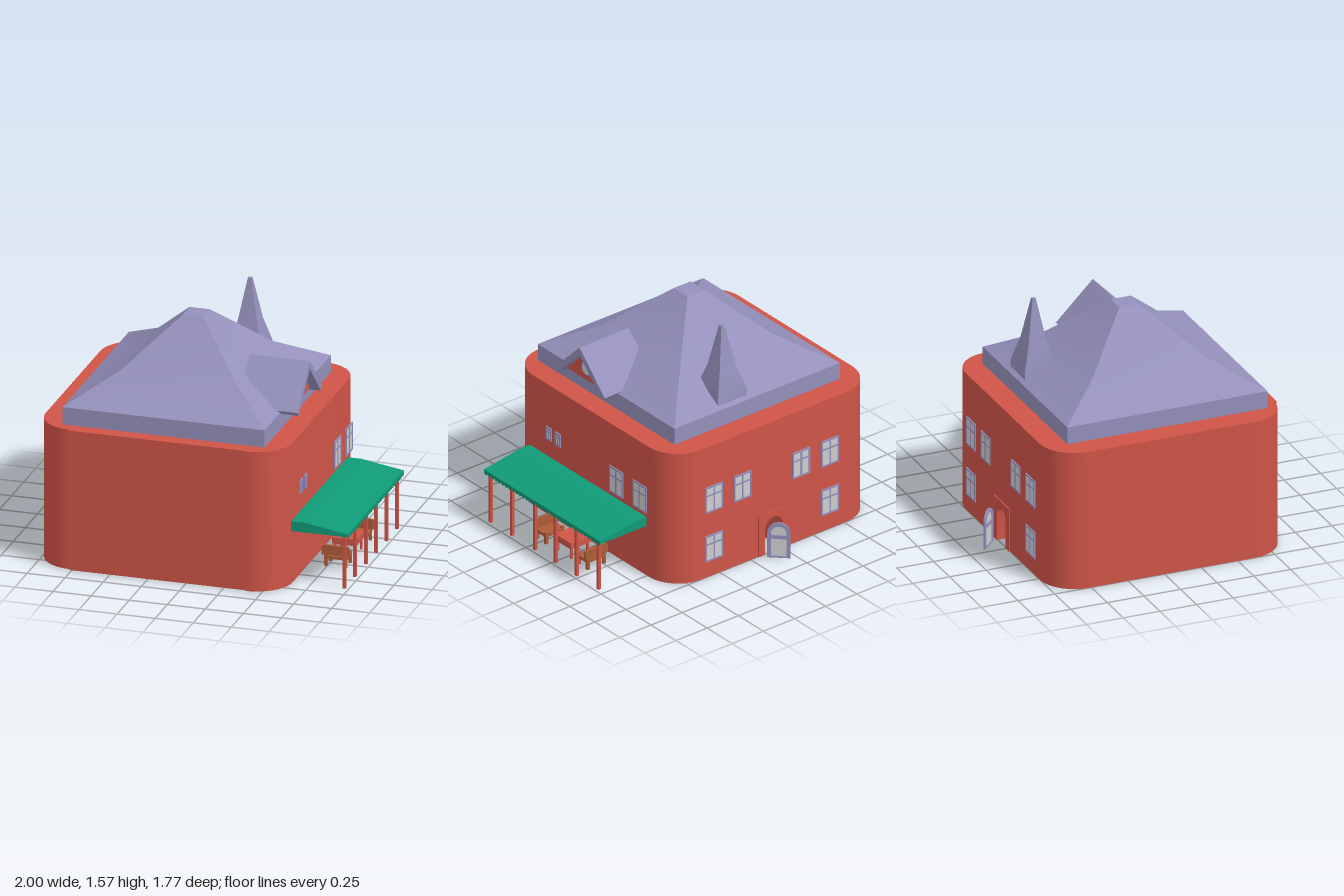
import * as THREE from 'three';
import { toCreasedNormals } from 'three/addons/utils/BufferGeometryUtils.js';

const mat = (name, color, side = THREE.FrontSide) => {
  const m = new THREE.MeshStandardMaterial({ color, side });
  m.name = name;
  return m;
};

export function createModel() {
  const model = new THREE.Group();
  const red = mat('brickRed', 0xcf5447);
  const purple = mat('slatePurple', 0x9490bb);
  const green = mat('awningGreen', 0x109a76, THREE.DoubleSide);
  const wood = mat('woodBrown', 0xac5c38);
  const glass = mat('paleGlass', 0xcdcdd0);

  const add = (name, geo, material, parent = model) => {
    const m = new THREE.Mesh(geo, material);
    m.name = name;
    parent.add(m);
    return m;
  };
  // Box given by its limits
  const box = (name, x0, x1, y0, y1, z0, z1, material, parent = model) => {
    const m = add(name, new THREE.BoxGeometry(x1 - x0, y1 - y0, z1 - z0), material, parent);
    m.position.set((x0 + x1) / 2, (y0 + y1) / 2, (z0 + z1) / 2);
    return m;
  };
  const poly = (pts) => new THREE.Shape(pts.map(([x, y]) => new THREE.Vector2(x, y)));
  const extrude = (shape, depth) =>
    new THREE.ExtrudeGeometry(shape, { depth, bevelEnabled: false, curveSegments: 16 });
  const rectHole = (x0, x1, y0, y1) => poly([[x0, y0], [x0, y1], [x1, y1], [x1, y0]]);

  // Stack of rectangles [x0, x1, z0, z1, y] joined into a closed solid
  const loft = (sections) => {
    const rings = sections.map(([x0, x1, z0, z1, y]) => [[x0, y, z1], [x1, y, z1], [x1, y, z0], [x0, y, z0]]);
    const pos = [];
    const quad = (a, b, c, d) => pos.push(...a, ...b, ...c, ...a, ...c, ...d);
    for (let k = 0; k < rings.length - 1; k++)
      for (let i = 0; i < 4; i++) {
        const j = (i + 1) % 4;
        quad(rings[k][i], rings[k][j], rings[k + 1][j], rings[k + 1][i]);
      }
    const lo = rings[0], hi = rings[rings.length - 1];
    quad(hi[0], hi[1], hi[2], hi[3]);
    quad(lo[3], lo[2], lo[1], lo[0]);
    const g = new THREE.BufferGeometry();
    g.setAttribute('position', new THREE.Float32BufferAttribute(pos, 3));
    return toCreasedNormals(g, 0.4);
  };

  // Hollow walls with rounded corners, open at the back for the doorway piece
  const H = 0.935, R = 0.235, P = Math.PI;
  const plan = new THREE.Shape();
  plan.moveTo(0, 0.75);
  plan.lineTo(0.395, 0.75);
  plan.absarc(0.395, 0.515, R, P / 2, 0, true);
  plan.absarc(0.395, -0.64, R, 0, -P / 2, true);
  plan.lineTo(0.395, -0.865);
  plan.lineTo(-0.765, -0.865);
  plan.absarc(-0.765, -0.615, R, -P / 2, -P, true);
  plan.absarc(-0.765, 0.515, R, P, P / 2, true);
  [[-0.36, 0.75], [-0.36, 0.55], [-0.8, 0.55], [-0.8, -0.67], [0.43, -0.67], [0.43, 0.55], [0, 0.55]]
    .forEach(([x, y]) => plan.lineTo(x, y));
  add('walls', toCreasedNormals(extrude(plan, H).rotateX(-P / 2), 0.5), red);

  // Back wall section and raised surround, both with the arched doorway
  const doorway = (name, x0, x1, h, z, depth) => {
    const s = new THREE.Shape();
    s.moveTo(x0, 0);
    s.lineTo(-0.25, 0);
    s.lineTo(-0.25, 0.18);
    s.absarc(-0.18, 0.18, 0.07, P, 0, true);
    [[-0.11, 0], [x1, 0], [x1, h], [x0, h]].forEach(([x, y]) => s.lineTo(x, y));
    add(name, toCreasedNormals(extrude(s, depth), 0.5), red).position.z = z;
  };
  doorway('doorwayWall', -0.36, 0, H, -0.75, 0.2);
  doorway('doorSurround', -0.3, -0.06, 0.29, -0.758, 0.01);

  // Open door leaf with two panes
  const door = new THREE.Group();
  door.name = 'door';
  const arch = (x0, x1, y0, spring) => {
    const s = new THREE.Shape(), r = (x1 - x0) / 2;
    s.moveTo(x0, y0);
    s.lineTo(x1, y0);
    s.lineTo(x1, spring);
    s.absarc((x0 + x1) / 2, spring, r, 0, P, false);
    return s;
  };
  const leaf = arch(0, 0.145, 0, 0.177);
  leaf.holes.push(rectHole(0.024, 0.121, 0.012, 0.135), arch(0.024, 0.121, 0.16, 0.175));
  add('doorFrame', extrude(leaf, 0.012), purple, door);
  add('doorGlass', extrude(arch(0.01, 0.135, 0.005, 0.175), 0.004), glass, door).position.z = 0.004;
  door.position.set(-0.11, 0, -0.78);
  door.rotation.y = 0.75 * P;
  model.add(door);

  // Windows: a frame with four openings over a pane
  const addWindow = (x, y, z, turn, w, h, rim, bar) => {
    const g = new THREE.Group();
    g.name = 'window';
    const s = poly([[-w / 2, 0], [w / 2, 0], [w / 2, h], [-w / 2, h]]);
    const cut = h * 0.66;
    for (const [a, b] of [[-w / 2 + rim, -bar / 2], [bar / 2, w / 2 - rim]])
      s.holes.push(rectHole(a, b, rim, cut - bar / 2), rectHole(a, b, cut + bar / 2, h - rim));
    add('windowFrame', extrude(s, 0.008), purple, g);
    box('windowGlass', -w / 2 + 0.004, w / 2 - 0.004, 0.004, h - 0.004, 0.001, 0.005, glass, g);
    g.position.set(x, y, z);
    g.rotation.y = turn;
    model.add(g);
  };
  for (const z of [-0.218, -0.452]) addWindow(0.648, 0.465, z, P / 2, 0.137, 0.185, 0.011, 0.011);
  for (const z of [0.48, 0.388]) addWindow(0.63, 0.54, z, P / 2, 0.056, 0.092, 0.012, 0.008);
  for (const x of [-0.63, -0.4, 0.07, 0.3]) addWindow(x, 0.465, -0.752, P, 0.14, 0.185, 0.011, 0.011);
  for (const x of [-0.63, 0.3]) addWindow(x, 0.115, -0.752, P, 0.14, 0.185, 0.011, 0.011);

  // Hipped roof with flared eaves, and the small spire
  add('roof', loft([
    [-0.84, 0.487, -0.595, 0.772, H], [-0.84, 0.487, -0.595, 0.772, 1.05],
    [-0.55, 0.2, -0.29, 0.472, 1.225], [-0.245, -0.11, 0.02, 0.157, 1.515],
  ]), purple);
  const spire = [[0.113, 1.0], [0.113, 1.12], [0.065, 1.28], [0.012, 1.565]];
  add('spire', loft(spire.map(([r, y]) => [-r, r, -0.46 - r * 0.94, -0.46 + r * 0.94, y])), purple);

  // Gabled dormer on the left slope
  const alongX = (pts, x0, x1) => extrude(poly(pts), x1 - x0).rotateY(P / 2).translate(x0, 0, 0.208);
  add('dormerRoof', alongX([[-0.253, 1.065], [-0.228, 1.037], [0, 1.265], [0.228, 1.037],
    [0.253, 1.065], [0, 1.32]], 0.21, 0.605), purple);
  add('dormerGable', alongX([[-0.207, 1.058], [0.207, 1.058], [0, 1.266]], 0.212, 0.54), red);
  const pane = add('dormerPane', new THREE.CylinderGeometry(0.045, 0.045, 0.006, 24).rotateZ(P / 2), glass);
  pane.position.set(0.541, 1.143, 0.215);
  const ring = add('dormerPaneRing', new THREE.TorusGeometry(0.045, 0.006, 8, 24).rotateY(P / 2), purple);
  ring.position.copy(pane.position);

  // Awning: hollow canopy, closed ends and toothed fringe
  const Z0 = -0.492, Z1 = 0.672;
  add('awningTop', extrude(poly([[0.63, 0.414], [0.72, 0.414], [1, 0.369], [1, 0.375], [0.72, 0.42],
    [0.63, 0.42]]), Z1 - Z0), green).position.z = Z0;
  const end = [[0.63, 0.355], [1, 0.355], [1, 0.375], [0.72, 0.42], [0.63, 0.42]];
  for (const z of [Z0, Z1 - 0.005]) add('awningEnd', extrude(poly(end), 0.005), green).position.z = z;
  const teeth = 34, fringe = [[-Z0, 0.372], [-Z1, 0.372]];
  for (let i = 0; i <= teeth * 2; i++)
    fringe.push([-Z1 + ((Z1 - Z0) * i) / (teeth * 2), i % 2 ? 0.34 : 0.353]);
  add('awningFringe', extrude(poly(fringe), 0.005).rotateY(P / 2), green).position.x = 0.995;
  for (const z of [0.64, 0.427, 0.197, -0.012, -0.222, -0.44])
    box('awningPost', 0.96, 0.98, 0, 0.375, z - 0.01, z + 0.01, red);

  // Terrace table and two chairs
  const legs = (name, xs, zs, top, r, material, parent) => {
    for (const x of xs) for (const z of zs) box(name, x - r, x + r, 0, top, z - r, z + r, material, parent);
  };
  box('tableTop', 0.72, 0.88, 0.075, 0.118, -0.05, 0.115, red);
  legs('tableLeg', [0.735, 0.865], [-0.035, 0.1], 0.08, 0.007, red, model);
  for (const [z, turn] of [[0.255, 0], [-0.16, P]]) {
    const chair = new THREE.Group();
    chair.name = 'chair';
    box('chairSeat', -0.075, 0.075, 0.05, 0.07, -0.055, 0.055, wood, chair);
    const back = new THREE.Shape();
    back.moveTo(-0.09, 0.075);
    back.lineTo(0.09, 0.075);
    back.lineTo(0.09, 0.12);
    back.absarc(0.07, 0.12, 0.02, 0, P / 2, false);
    back.absarc(-0.07, 0.12, 0.02, P / 2, P, false);
    add('chairBack', extrude(back, 0.018), wood, chair).position.z = 0.037;
    legs('chairLeg', [-0.065, 0.065], [-0.045, 0.045], 0.08, 0.009, wood, chair);
    chair.position.set(0.805, 0, z);
    chair.rotation.y = turn;
    model.add(chair);
  }

  // Inside: round-ended counter with stools
  const bar = new THREE.Shape();
  bar.absarc(-0.5, 0.3, 0.065, 0, P, false);
  bar.absarc(-0.5, -0.58, 0.065, P, 2 * P, false);
  add('counter', toCreasedNormals(extrude(bar, 0.15).rotateX(-P / 2), 0.5), wood);
  for (const z of [-0.25, -0.1]) {
    const seat = add('stoolSeat', new THREE.CylinderGeometry(0.03, 0.03, 0.015, 16), purple);
    seat.position.set(-0.68, 0.1, z);
    const stem = add('stoolStem', new THREE.CylinderGeometry(0.008, 0.02, 0.1, 12), purple);
    stem.position.set(-0.68, 0.05, z);
  }

  // Inside: low stage with a cross-braced end frame and a loudspeaker
  box('stage', -0.18, 0.335, 0.01, 0.04, -0.03, 0.335, purple);
  for (const z of [-0.02, 0.325]) box('trussPost', -0.19, -0.17, 0.04, 0.24, z - 0.01, z + 0.01, purple);
  for (const y of [0.05, 0.24]) box('trussRail', -0.19, -0.17, y - 0.01, y + 0.01, -0.03, 0.335, purple);
  for (const s of [-1, 1])
    box('trussBrace', -0.185, -0.175, 0.138, 0.152, -0.04, 0.345, purple).rotation.x = s * 0.5;
  box('loudspeaker', 0.26, 0.34, 0, 0.1, 0.38, 0.46, purple);

  return model;
}
